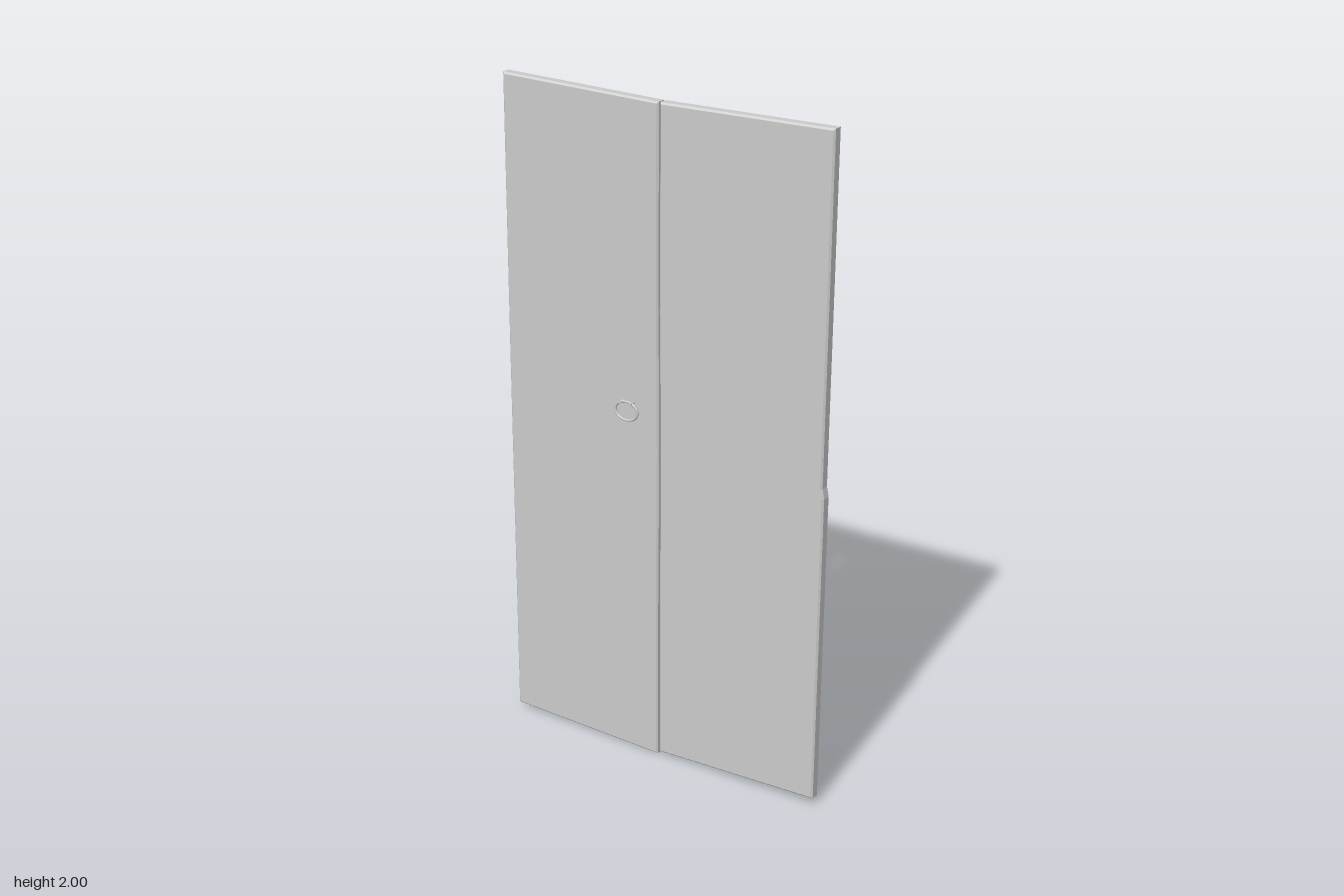
import * as THREE from 'three';

const material = new THREE.MeshStandardMaterial({ color: 0xcccccc });
const HALF = 0.017; // half thickness of the boards
const BEVEL = 0.005;

// Rough-hewn board: slightly crooked outline with chamfered edges
function board(name, outline) {
  const shape = new THREE.Shape(outline.map(([x, y]) => new THREE.Vector2(x, y)));
  const geometry = new THREE.ExtrudeGeometry(shape, {
    depth: 2 * (HALF - BEVEL),
    bevelEnabled: true,
    bevelThickness: BEVEL,
    bevelSize: BEVEL,
    bevelOffset: -BEVEL,
    bevelSegments: 1,
  });
  geometry.translate(0, 0, -(HALF - BEVEL));
  const mesh = new THREE.Mesh(geometry, material);
  mesh.name = name;
  return mesh;
}

// Oval ring pull held by two short pegs
function ringHandle(name) {
  const handle = new THREE.Group();
  handle.name = name;

  const ring = new THREE.Mesh(new THREE.TorusGeometry(0.036, 0.004, 8, 28), material);
  ring.name = 'ring';
  ring.scale.set(1.03, 0.78, 1);
  ring.position.z = 0.029;
  handle.add(ring);

  for (const x of [-0.017, 0.017]) {
    const peg = new THREE.Mesh(new THREE.CylinderGeometry(0.004, 0.004, 0.024, 8), material);
    peg.name = 'peg';
    peg.rotation.x = Math.PI / 2;
    peg.position.set(x, 0.025, 0.025);
    handle.add(peg);
  }
  handle.position.set(-0.108, 1.092, 0);
  return handle;
}

export function createModel() {
  const door = new THREE.Group();
  door.name = 'door';

  door.add(board('rightBoard', [
    [-0.525, 0.02], [-0.014, 0.003], [-0.013, 0.5], [-0.009, 0.98],
    [-0.011, 1.4], [-0.009, 1.988], [-0.52, 2], [-0.523, 1.2],
  ]));
  door.add(board('leftBoard', [
    [-0.008, 0.013], [0.515, 0.028], [0.522, 0.97], [0.516, 1.0],
    [0.523, 1.995], [-0.004, 1.988], [-0.007, 1.4], [-0.004, 0.98], [-0.007, 0.5],
  ]));

  // Matching pulls on both faces
  const front = ringHandle('frontHandle');
  const back = ringHandle('backHandle');
  back.rotation.y = Math.PI;
  door.add(front, back);

  door.position.y = -0.003;
  const model = new THREE.Group();
  model.name = 'plankDoor';
  model.add(door);
  return model;
}
